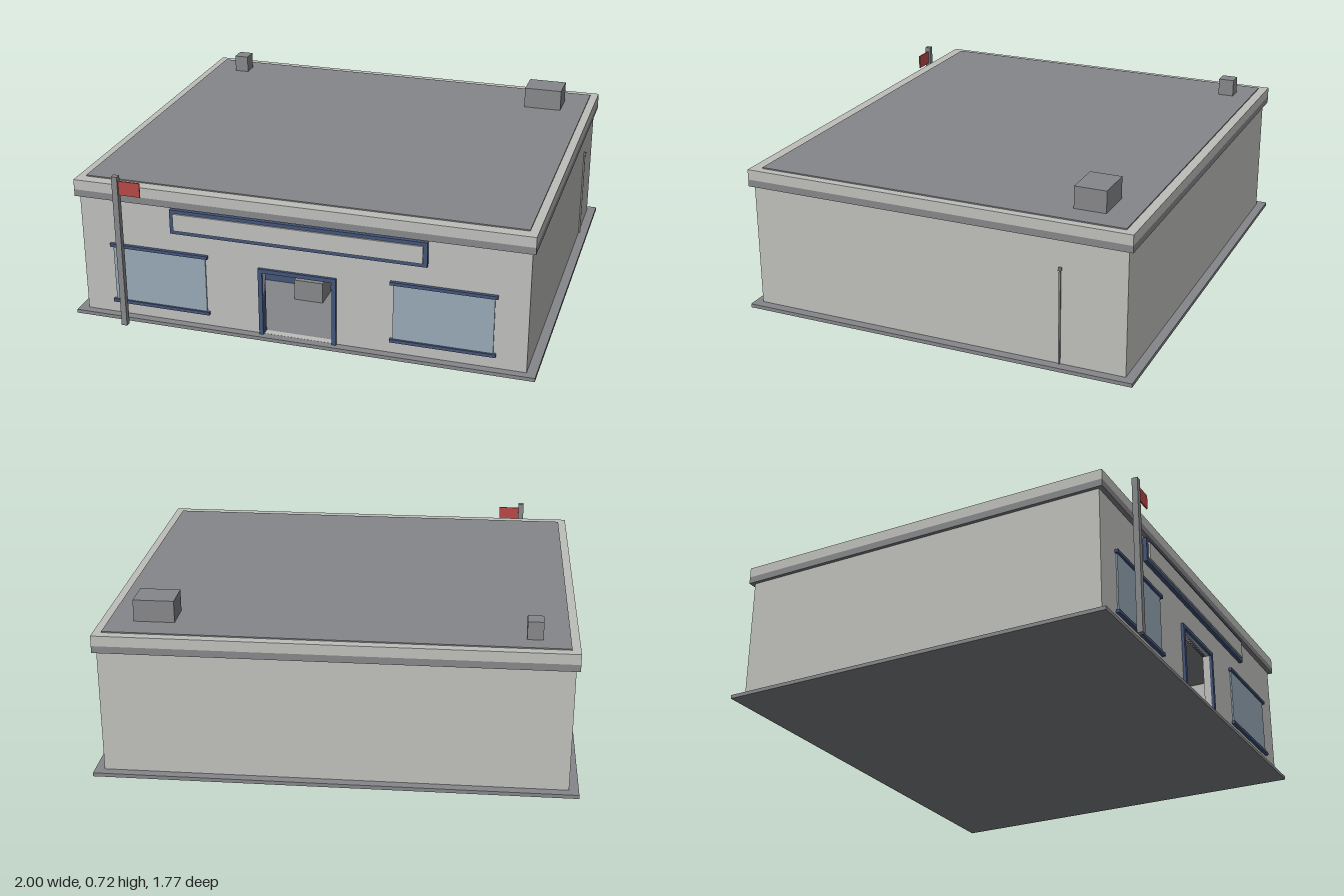
import * as THREE from 'three';

const mat = (name, color, side = THREE.FrontSide) => {
  const m = new THREE.MeshStandardMaterial({ color, side });
  m.name = name;
  return m;
};

export function createModel() {
  const wall = mat('pale wall', 0xbebebb);
  const grey = mat('mid grey', 0x86878a);
  const blue = mat('dark blue trim', 0x445479);
  const glass = mat('window glass', 0x97a8b5);
  const red = mat('flag red', 0xb64846);

  const model = new THREE.Group();
  model.name = 'building';

  // Box given by its extents on each axis
  const box = (name, m, [x0, x1], [y0, y1], [z0, z1], parent = model) => {
    const mesh = new THREE.Mesh(new THREE.BoxGeometry(x1 - x0, y1 - y0, z1 - z0), m);
    mesh.position.set((x0 + x1) / 2, (y0 + y1) / 2, (z0 + z1) / 2);
    mesh.name = name;
    parent.add(mesh);
    return mesh;
  };

  // Rectangular frame extruded towards the front
  const frame = (name, m, [x0, x1], [y0, y1], [hx0, hx1], [hy0, hy1], z, depth) => {
    const rect = (C, a, b, c, d) => new C([[a, c], [b, c], [b, d], [a, d]].map(p => new THREE.Vector2(...p)));
    const shape = rect(THREE.Shape, x0, x1, y0, y1);
    shape.holes.push(rect(THREE.Path, hx0, hx1, hy0, hy1));
    const mesh = new THREE.Mesh(new THREE.ExtrudeGeometry(shape, { depth, bevelEnabled: false }), m);
    mesh.position.z = z;
    mesh.name = name;
    model.add(mesh);
  };

  // Ground slab, also the interior floor
  box('baseSlab', grey, [-1, 1], [0, 0.016], [-0.885, 0.84]);

  // Hollow shell with a doorway in the front wall
  const H = [0.016, 0.55];
  box('backWall', wall, [-0.96, 0.96], H, [-0.845, -0.815]);
  box('leftWall', wall, [0.93, 0.96], H, [-0.815, 0.775]);
  box('rightWall', wall, [-0.96, -0.93], H, [-0.815, 0.775]);
  frame('frontWall', wall, [-0.96, 0.96], H, [-0.152, 0.148], [0.0165, 0.303], 0.775, 0.03);

  // Roof edge in two bands, with the roof deck just above
  box('corniceBand', grey, [-0.975, 0.975], [0.55, 0.58], [-0.865, 0.825]);
  box('parapet', wall, [-0.975, 0.975], [0.58, 0.624], [-0.865, 0.825]);
  box('roofDeck', grey, [-0.94, 0.94], [0.6, 0.629], [-0.825, 0.775]);

  // Rooftop units
  box('ventBox', grey, [-0.83, -0.765], [0.625, 0.705], [-0.745, -0.675]);
  box('airUnit', grey, [0.665, 0.835], [0.625, 0.722], [-0.705, -0.57]);

  // Windows with a rail above and below
  for (const s of [-1, 1]) {
    const cx = s * 0.613 + 0.001;
    const win = new THREE.Group();
    win.name = s < 0 ? 'rightWindow' : 'leftWindow';
    box('glass', glass, [cx - 0.208, cx + 0.208], [0.078, 0.335], [0.803, 0.811], win);
    for (const y of [0.07, 0.331])
      box('rail', blue, [cx - 0.22, cx + 0.22], [y, y + 0.014], [0.803, 0.82], win);
    model.add(win);
  }

  // Door surround, open at the floor
  for (const x of [-0.17, 0.148])
    box('doorJamb', blue, [x, x + 0.018], [0.016, 0.303], [0.775, 0.817]);
  box('doorHeader', blue, [-0.17, 0.166], [0.303, 0.321], [0.775, 0.817]);

  // Sign board with a blank face
  box('signBoard', blue, [-0.55, 0.547], [0.432, 0.54], [0.803, 0.822]);
  box('signFace', wall, [-0.533, 0.53], [0.449, 0.525], [0.822, 0.829]);

  // Counter, stool and crate seen through the doorway
  box('counter', blue, [-0.78, -0.13], [0.016, 0.143], [0.26, 0.34]);
  box('counterTop', blue, [-0.79, -0.08], [0.143, 0.156], [0.25, 0.35]);
  box('stoolBack', blue, [-0.13, -0.08], [0.06, 0.143], [0.2, 0.22]);
  box('crate', grey, [-0.13, 0], [0.016, 0.11], [0.36, 0.48]);

  // Slim pipe with a cap on the side wall
  box('sidePipe', grey, [0.96, 0.967], [0.016, 0.415], [-0.571, -0.564]);
  box('pipeCap', grey, [0.956, 0.97], [0.42, 0.433], [-0.574, -0.561]);

  // Flagpole and flag
  box('flagpole', grey, [-0.77, -0.745], [0, 0.686], [0.86, 0.885]);
  box('flag', red, [-0.745, -0.652], [0.603, 0.665], [0.869, 0.875]);

  return model;
}
